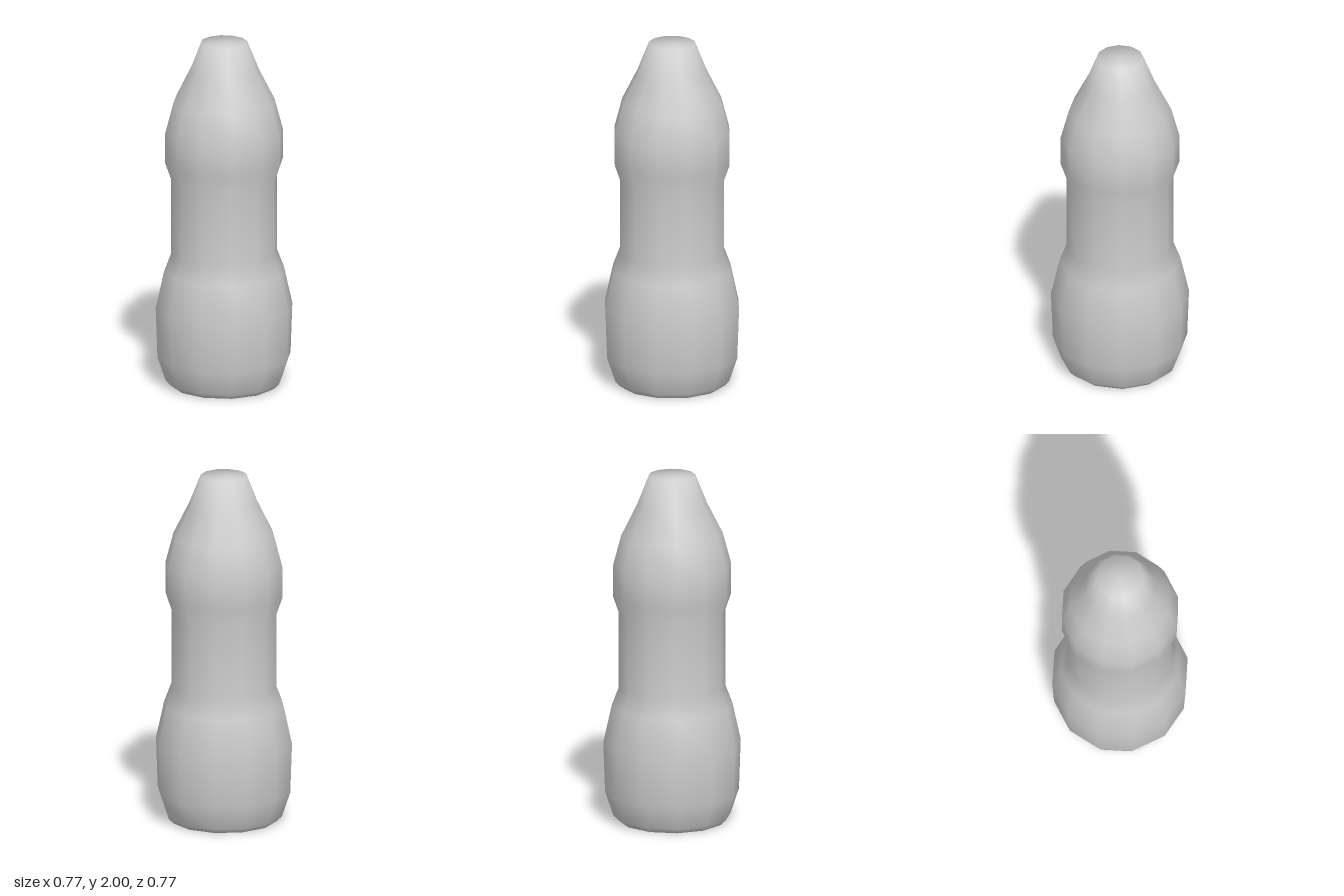
import * as THREE from 'three';

export function createModel() {
  const group = new THREE.Group();
  const material = new THREE.MeshStandardMaterial({ color: 0xcccccc });

  // Outline as [radius, height], from the base centre up to the tip centre
  const profile = [
    [0, 0], [0.3, 0], [0.33, 0.03],                // flat base with bevelled rim
    [0.377, 0.17], [0.387, 0.455], [0.34, 0.67],   // lower bulge
    [0.3, 0.775], [0.3, 1.21],                     // straight waist
    [0.333, 1.305], [0.333, 1.48],                 // upper bulge
    [0.287, 1.655], [0.197, 1.835],                // tapering shoulder
    [0.132, 2], [0, 2],                            // blunt tip
  ].map(([r, y]) => new THREE.Vector2(r, y));

  // Twelve-sided, smooth-shaded body
  const body = new THREE.Mesh(new THREE.LatheGeometry(profile, 12), material);
  body.name = 'body';
  group.add(body);
  return group;
}
